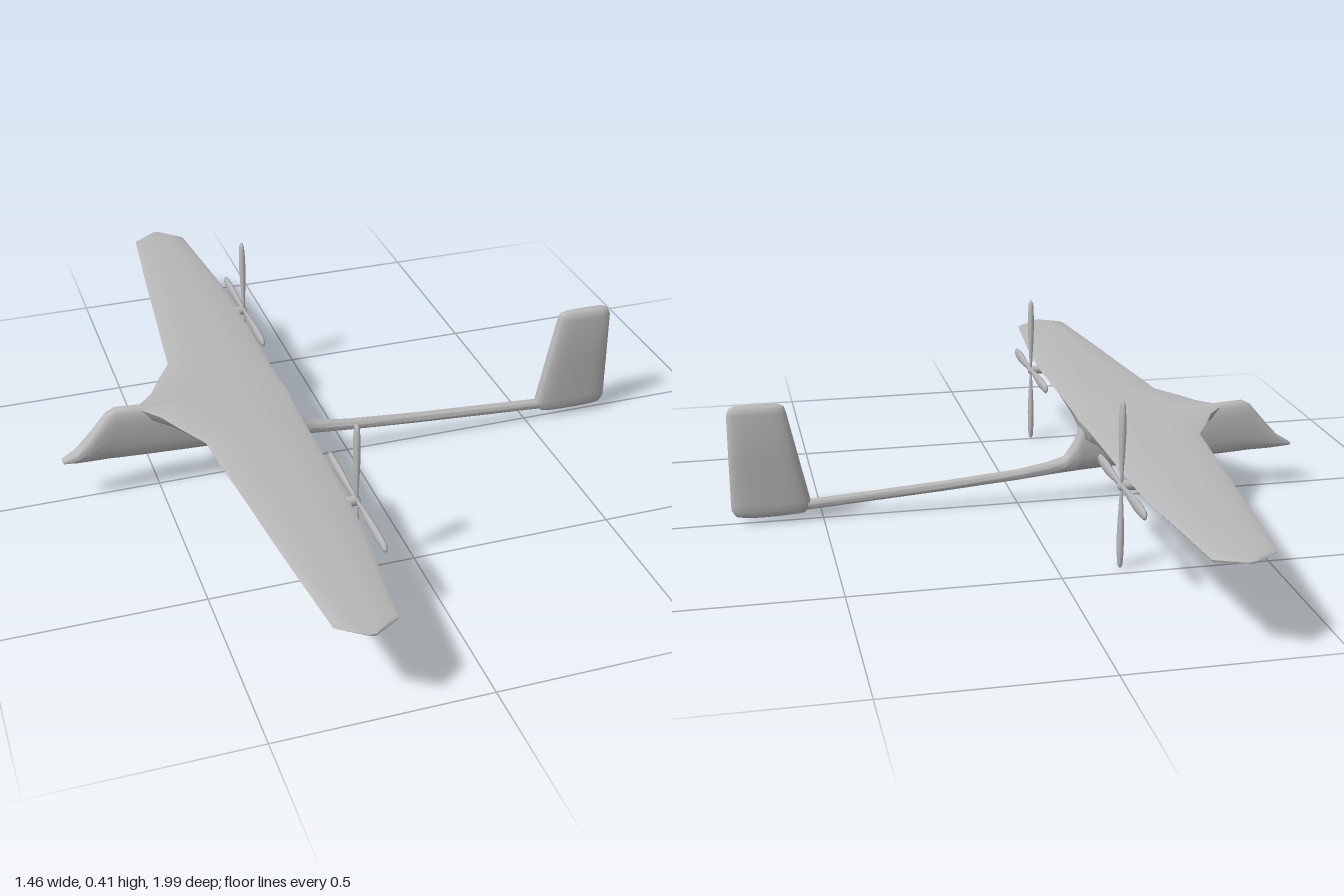
import * as THREE from 'three';
import { toCreasedNormals } from 'three/addons/utils/BufferGeometryUtils.js';

// Closed skin through rings of points [x, y, z], with fan caps at both ends
function loft(rings, crease = 0.8) {
  const n = rings[0].length, tris = [];
  const centre = (r) => [0, 1, 2].map((k) => r.reduce((s, p) => s + p[k], 0) / n);
  const first = rings[0], last = rings[rings.length - 1];
  const c0 = centre(first), c1 = centre(last);
  for (let j = 0; j < n; j++) {
    const k = (j + 1) % n;
    for (let i = 0; i < rings.length - 1; i++) {
      const a = rings[i][j], b = rings[i][k], c = rings[i + 1][k], d = rings[i + 1][j];
      tris.push([a, b, c], [a, c, d]);
    }
    tris.push([c0, first[k], first[j]], [c1, last[j], last[k]]);
  }
  // Turn the faces outward
  let volume = 0;
  for (const [a, b, c] of tris) {
    volume += new THREE.Vector3(...a).dot(new THREE.Vector3(...b).cross(new THREE.Vector3(...c)));
  }
  if (volume < 0) tris.forEach((t) => t.reverse());
  const geometry = new THREE.BufferGeometry();
  geometry.setAttribute('position', new THREE.Float32BufferAttribute(tris.flat(2), 3));
  return toCreasedNormals(geometry, crease);
}

// Rounded-box cross-section: returns pairs within [-1, 1]
function superEllipse(count, power) {
  return Array.from({ length: count }, (_, i) => {
    const a = (i / count) * Math.PI * 2;
    const f = (v) => Math.sign(v) * Math.abs(v) ** power;
    return [f(Math.cos(a)), f(Math.sin(a))];
  });
}

export function createModel() {
  const model = new THREE.Group();
  const grey = new THREE.MeshStandardMaterial({ color: 0xb8b8b8 });
  grey.name = 'plain grey';
  const add = (parent, name, geometry) => {
    const mesh = new THREE.Mesh(geometry, grey);
    mesh.name = name;
    parent.add(mesh);
    return mesh;
  };

  // Fuselage and tail boom: x, bottom, top, half width
  const body = [
    [-0.735, 0.109, 0.117, 0.012], [-0.7, 0.106, 0.138, 0.019],
    [-0.67, 0.104, 0.17, 0.022], [-0.62, 0.102, 0.229, 0.022],
    [-0.598, 0.1, 0.24, 0.022], [-0.5, 0.095, 0.234, 0.023],
    [-0.3, 0.087, 0.222, 0.026], [-0.17, 0.08, 0.21, 0.026],
    [-0.153, 0.079, 0.16, 0.023], [-0.125, 0.077, 0.118, 0.019],
    [-0.08, 0.073, 0.104, 0.017], [0, 0.065, 0.09, 0.015],
    [0.2, 0.049, 0.073, 0.014], [0.54, 0.026, 0.05, 0.014], [0.7, 0.02, 0.045, 0.014],
  ];
  const section = superEllipse(20, 0.75);
  add(model, 'fuselage', loft(body.map(([x, lo, hi, w]) =>
    section.map(([u, v]) => [x, (lo + hi) / 2 + v * (hi - lo) / 2, u * w]))));

  // Wing with deep root fairing: span position, leading edge, trailing edge, depth
  const half = [
    [0, -0.55, -0.16, 0.085], [0.025, -0.525, -0.162, 0.082],
    [0.06, -0.495, -0.164, 0.068], [0.12, -0.465, -0.165, 0.046],
    [0.2, -0.42, -0.165, 0.028], [0.31, -0.41, -0.165, 0.016],
    [0.5, -0.391, -0.166, 0.015], [0.66, -0.376, -0.175, 0.014],
    [0.95, -0.345, -0.203, 0.012], [0.995, -0.283, -0.267, 0.005],
  ];
  const stations = [
    ...half.slice(1).reverse().map(([z, ...rest]) => [-z, ...rest]), ...half,
  ];
  // Chord fraction, drop from the top line, share of underside depth
  const airfoil = [
    [0, 0.005, 0], [0.06, 0.001, 0], [0.3, -0.001, 0], [0.65, 0, 0], [0.94, 0.001, 0],
    [1, 0.005, 0], [0.97, 0.004, 0.55], [0.82, 0, 1], [0.5, 0, 0.95],
    [0.2, 0, 0.75], [0.05, 0.004, 0.35],
  ];
  add(model, 'wing', loft(stations.map(([z, le, te, depth]) =>
    airfoil.map(([t, drop, share]) => {
      const x = le + (te - le) * t;
      return [x, 0.217 - 0.045 * (x + 0.165) - drop * Math.min(1, depth / 0.012) - share * depth, z];
    }))));

  // Upright tail fin: height, front, back, half thickness
  const fin = [
    [0.016, 0.6, 0.695, 0.01], [0.021, 0.545, 0.718, 0.017], [0.035, 0.53, 0.727, 0.021],
    [0.052, 0.531, 0.728, 0.021], [0.17, 0.557, 0.728, 0.021],
    [0.285, 0.582, 0.728, 0.019], [0.3, 0.587, 0.722, 0.015], [0.306, 0.6, 0.71, 0.008],
  ];
  const finSection = superEllipse(24, 0.6);
  add(model, 'tailFin', loft(fin.map(([y, front, back, w]) =>
    finSection.map(([u, v]) => [(front + back) / 2 + u * (back - front) / 2, y, v * w]))));

  // Pusher propellers behind the trailing edge
  const bladeProfile = [
    [0, 0], [0.007, 0.004], [0.008, 0.03], [0.013, 0.08], [0.016, 0.125],
    [0.015, 0.165], [0.012, 0.193], [0.006, 0.202], [0, 0.203],
  ].map(([r, y]) => new THREE.Vector2(r, y));
  const bladeGeometry = new THREE.LatheGeometry(bladeProfile, 10).scale(0.5, 1, 1);
  const podProfile = [
    [0, -0.06], [0.008, -0.055], [0.012, -0.04], [0.012, 0], [0.009, 0.007], [0, 0.009],
  ].map(([r, y]) => new THREE.Vector2(r, y));
  const podGeometry = new THREE.LatheGeometry(podProfile, 14).rotateZ(-Math.PI / 2);
  for (const [name, z] of [['frontPropeller', 0.51], ['rearPropeller', -0.463]]) {
    const propeller = new THREE.Group();
    propeller.name = name;
    propeller.position.set(-0.147, 0.203, z);
    add(propeller, 'motorPod', podGeometry);
    for (let i = 0; i < 4; i++) {
      add(propeller, 'blade', bladeGeometry).rotation.x = i * Math.PI / 2;
    }
    model.add(propeller);
  }
  return model;
}
